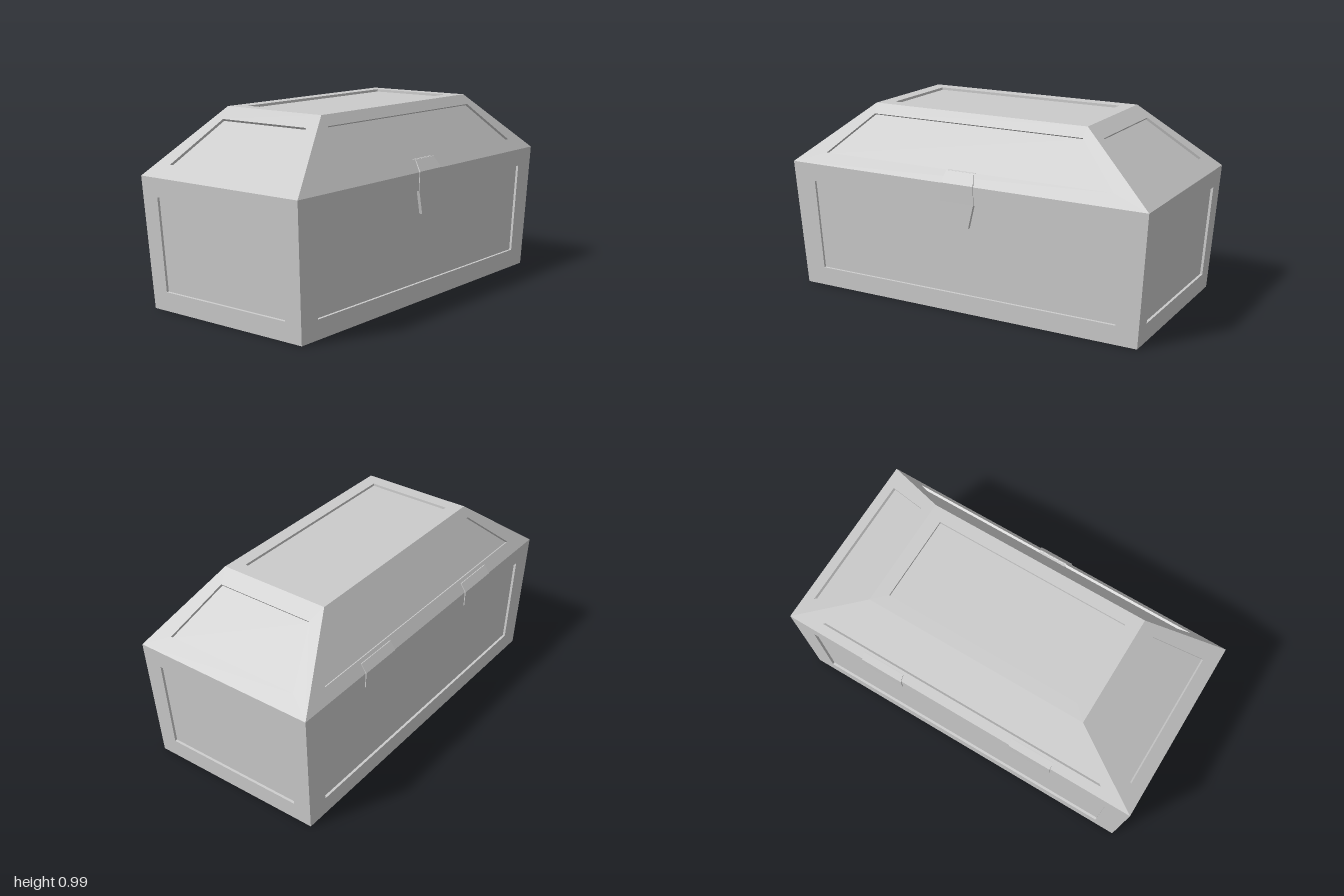
import * as THREE from 'three';

const material = new THREE.MeshStandardMaterial({ color: 0xcccccc, flatShading: true });
const DEPTH = 0.013; // depth of the recessed panels

// Flat-shaded mesh from four-cornered faces (counter-clockwise from outside)
function quadMesh(name, quads) {
  const points = quads.flatMap(([a, b, c, d]) => [a, b, c, a, c, d]);
  const geometry = new THREE.BufferGeometry().setFromPoints(points);
  geometry.computeVertexNormals();
  const mesh = new THREE.Mesh(geometry, material);
  mesh.name = name;
  return mesh;
}

// Trapezoid wall facing +z with a recessed panel.
// Edges are [halfWidth, y, z]; panel edges are [halfWidth, fraction up the wall].
function panelledWall(name, low, high, panelLow, panelHigh, turn = 0) {
  const at = (t) => [1, 2].map((i) => THREE.MathUtils.lerp(low[i], high[i], t));
  const corners = ([w0, t0], [w1, t1]) => {
    const [a, b] = [at(t0), at(t1)];
    return [[-w0, ...a], [w0, ...a], [w1, ...b], [-w1, ...b]].map((p) => new THREE.Vector3(...p));
  };
  const normal = new THREE.Vector3(0, low[2] - high[2], high[1] - low[1]).normalize();
  const outer = corners([low[0], 0], [high[0], 1]);
  const rim = corners(panelLow, panelHigh);
  const floor = rim.map((p) => p.clone().addScaledVector(normal, -DEPTH));
  const quads = [floor];
  for (let i = 0; i < 4; i++) {
    const j = (i + 1) % 4;
    quads.push([outer[i], outer[j], rim[j], rim[i]], [rim[i], rim[j], floor[j], floor[i]]);
  }
  const mesh = quadMesh(name, quads);
  mesh.rotation.y = turn;
  return mesh;
}

// Thin plate bent over the lid joint; rows run downward as [halfWidth, y, z]
function foldedPlate(name, rows, thickness) {
  const loops = rows.map(([w, y, z]) => [
    [-w, y, z], [w, y, z], [w, y, z - thickness], [-w, y, z - thickness],
  ].map((p) => new THREE.Vector3(...p)));
  const quads = [loops[0], [...loops.at(-1)].reverse()];
  for (let r = 0; r + 1 < loops.length; r++) {
    for (let i = 0; i < 4; i++) {
      const j = (i + 1) % 4;
      quads.push([loops[r + 1][i], loops[r + 1][j], loops[r][j], loops[r][i]]);
    }
  }
  return quadMesh(name, quads);
}

export function createModel() {
  const chest = new THREE.Group();
  chest.name = 'chest';
  const body = new THREE.Group();
  body.name = 'body';
  const lid = new THREE.Group();
  lid.name = 'lid';
  chest.add(body, lid);

  const rimY = 0.67, topY = 0.985;

  // Long front and back walls, then the short end walls
  for (const [side, turn] of [['front', 0], ['back', Math.PI]]) {
    body.add(panelledWall(side + 'Wall', [0.955, 0, 0.478], [1, rimY, 0.5], [0.845, 0.147], [0.87, 0.862], turn));
    lid.add(panelledWall(side + 'Slope', [1, rimY, 0.5], [0.6, topY, 0.3], [0.81, 0.19], [0.59, 0.84], turn));
  }
  for (const [side, turn] of [['left', Math.PI / 2], ['right', -Math.PI / 2]]) {
    body.add(panelledWall(side + 'Wall', [0.478, 0, 0.955], [0.5, rimY, 1], [0.386, 0.147], [0.397, 0.858], turn));
    lid.add(panelledWall(side + 'Slope', [0.5, rimY, 1], [0.3, topY, 0.6], [0.372, 0.18], [0.267, 0.825], turn));
  }

  // Lid top with its own recessed panel, and the flat underside
  lid.add(panelledWall('lidTop', [0.6, topY, 0.3], [0.6, topY, -0.3], [0.53, 0.115], [0.53, 0.885]));
  const base = new THREE.Mesh(new THREE.PlaneGeometry(1.91, 0.956), material);
  base.name = 'base';
  base.rotation.x = Math.PI / 2;
  body.add(base);

  // Front latch tapering to its tip
  chest.add(foldedPlate('latch', [
    [0.078, 0.728, 0.467], [0.092, 0.673, 0.505], [0.092, 0.58, 0.501], [0.06, 0.455, 0.497],
  ], 0.025));

  // Back hinges
  for (const s of [-1, 1]) {
    const hinge = foldedPlate(s > 0 ? 'leftHinge' : 'rightHinge', [
      [0.117, 0.714, 0.476], [0.117, 0.672, 0.505], [0.117, 0.59, 0.502],
    ], 0.02);
    hinge.rotation.y = Math.PI;
    hinge.position.x = s * 0.435;
    chest.add(hinge);
  }
  return chest;
}
